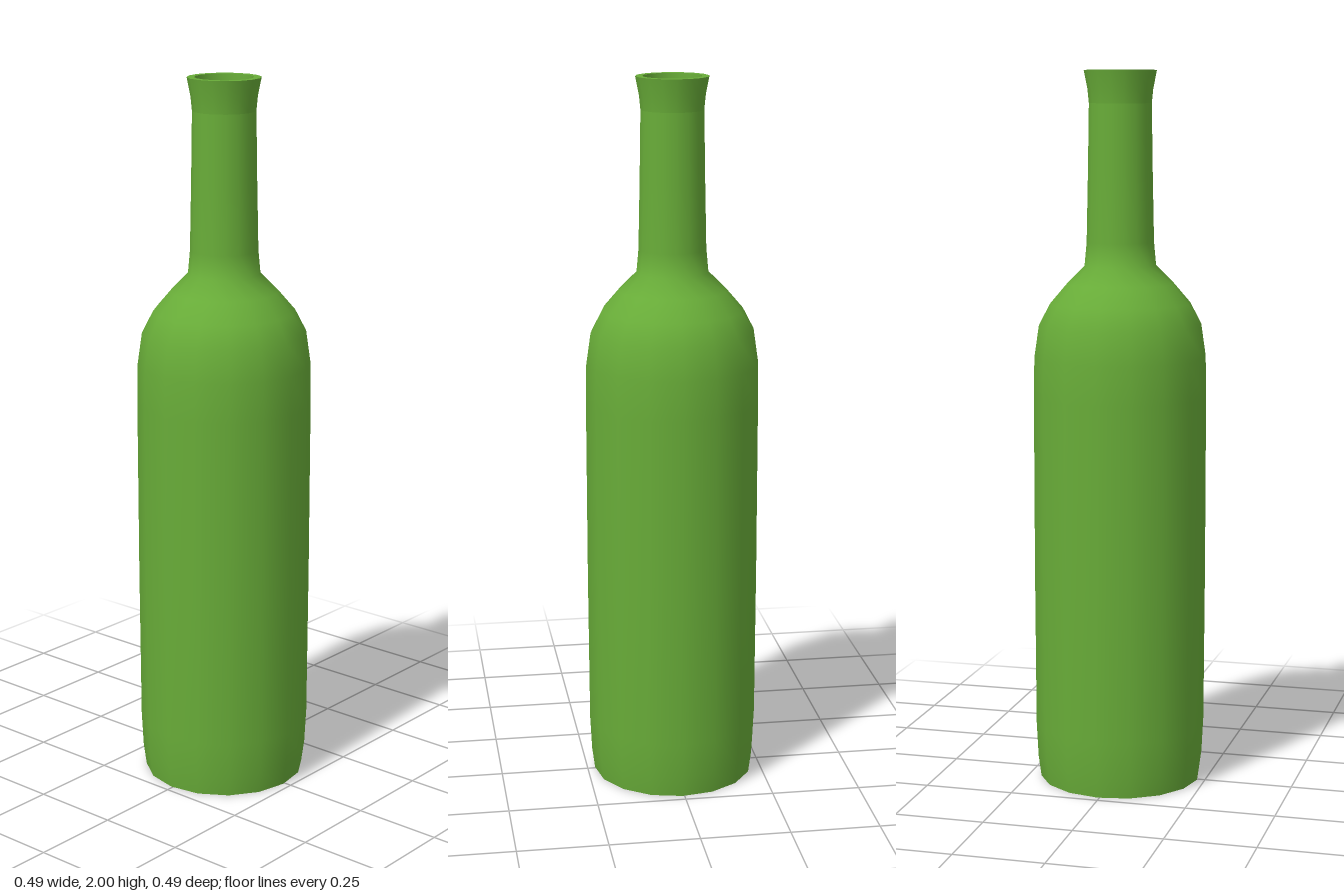
import * as THREE from 'three';

const SIDES = 16;
const TURN = -0.025; // slight twist of the facets about the vertical axis

export function createModel() {
  const bottle = new THREE.Group();
  bottle.name = 'bottle';
  const glass = new THREE.MeshStandardMaterial({ color: 0x68ac38 });

  // Each part is a turned [radius, height] profile; separate parts keep a crease between them
  const turn = (name, profile) => {
    const points = profile.map(([r, y]) => new THREE.Vector2(r, y));
    const mesh = new THREE.Mesh(new THREE.LatheGeometry(points, SIDES, TURN), glass);
    mesh.name = name;
    bottle.add(mesh);
  };

  // Outside, upwards: body and rounded shoulder, then neck, then flared mouth
  turn('body', [
    [0.228, 0], [0.236, 0.06], [0.241, 0.16], [0.243, 0.6], [0.243, 1.1], [0.241, 1.21],
    [0.228, 1.3], [0.197, 1.36], [0.15, 1.415], [0.1, 1.465], [0.094, 1.53],
    [0.09, 1.72], [0.087, 1.91],
  ]);
  turn('mouth', [[0.087, 1.91], [0.091, 1.95], [0.101, 2]]);
  turn('lip', [[0.101, 2], [0.081, 2]]);

  // Inside, downwards to the floor
  turn('innerWall', [
    [0.081, 2], [0.075, 1.91], [0.076, 1.53], [0.084, 1.46], [0.135, 1.405], [0.18, 1.35],
    [0.21, 1.29], [0.223, 1.2], [0.223, 0.2], [0.215, 0.11],
  ]);
  turn('innerFloor', [[0.215, 0.11], [0, 0.11]]);

  // Hollow underside and the narrow ring it stands on
  turn('punt', [[0, 0.1], [0.08, 0.095], [0.15, 0.08], [0.195, 0.045], [0.21, 0]]);
  turn('footRing', [[0.21, 0], [0.228, 0]]);

  return bottle;
}
